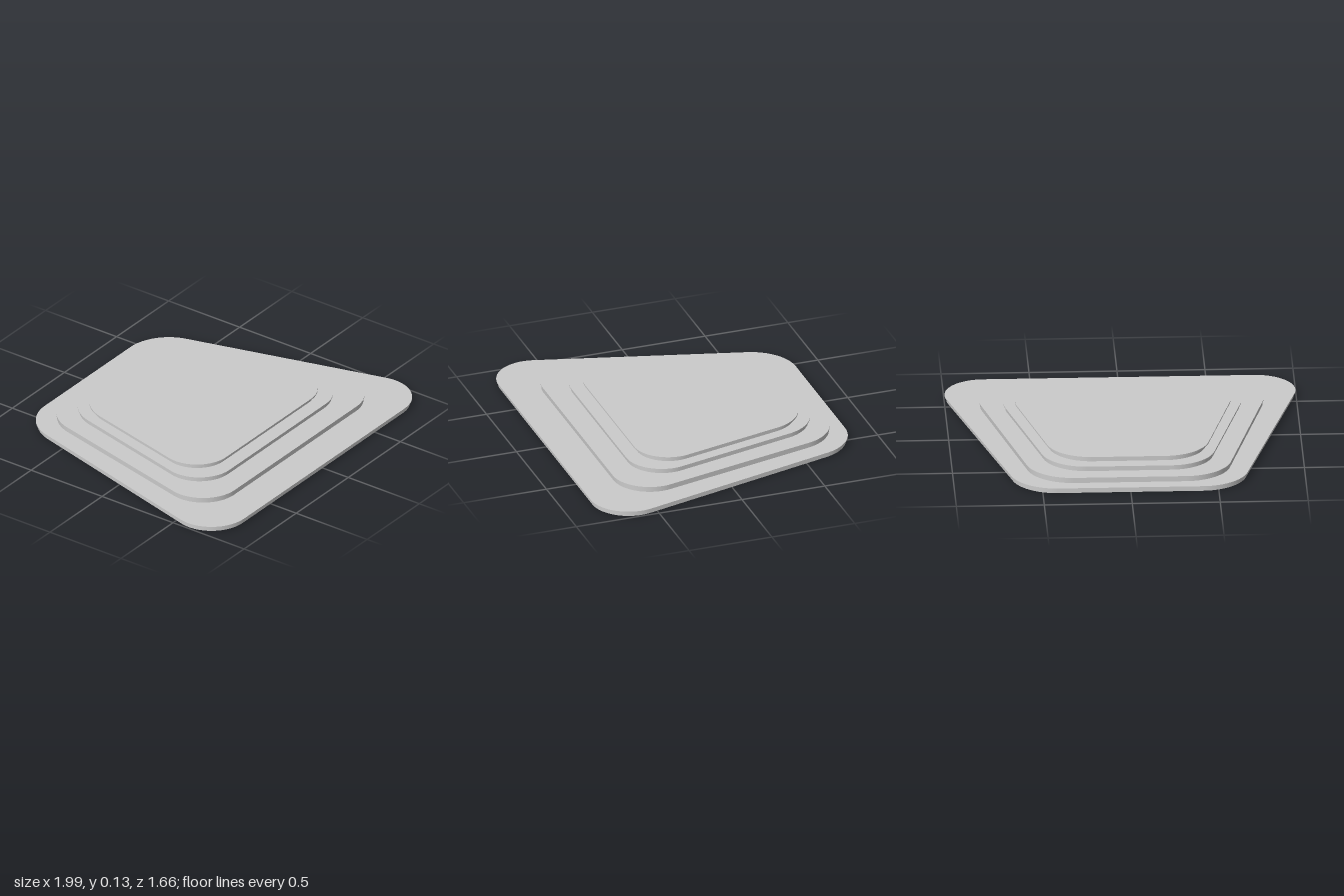
import * as THREE from 'three';
import { toCreasedNormals } from 'three/addons/utils/BufferGeometryUtils.js';

// Each tier: front and back z, half widths of the sharp trapezoid there,
// corner radii, bottom and top heights, and how far the lip overhangs the wall.
const TIERS = [
  { name: 'baseTier', zf: 0.83, zb: -0.835, xf: 1.067, xb: 0.617, rf: 0.228, rb: 0.27, y0: 0, y1: 0.032, lip: 0.01 },
  { name: 'secondTier', zf: 0.63, zb: -0.76, xf: 0.868, xb: 0.53, rf: 0.222, rb: 0.27, y0: 0.032, y1: 0.065, lip: 0.005 },
  { name: 'thirdTier', zf: 0.503, zb: -0.67, xf: 0.734, xb: 0.44, rf: 0.212, rb: 0.26, y0: 0.065, y1: 0.096, lip: 0.01 },
  { name: 'topTier', zf: 0.437, zb: -0.61, xf: 0.668, xb: 0.41, rf: 0.205, rb: 0.26, y0: 0.096, y1: 0.13, lip: 0.02 },
];
const LIP_HEIGHT = 0.006;
const RECESS_INSET = 0.032;

// Rounded trapezoid, inset by d; shape y is minus z
function trace(path, t, d) {
  const m = (t.xf - t.xb) / (t.zf - t.zb);
  const a = Math.atan(m);
  const corner = (z, r) => t.xf + m * (z - t.zf) - (r + d) * Math.hypot(1, m);
  const rf = t.rf - d, rb = t.rb - d;
  const zf = t.zf - d - rf, zb = t.zb + d + rb;
  const xf = corner(zf, rf), xb = corner(zb, rb);
  path.absarc(xf, -zf, rf, -Math.PI / 2, a);
  path.absarc(xb, -zb, rb, a, Math.PI / 2);
  path.absarc(-xb, -zb, rb, Math.PI / 2, Math.PI - a);
  path.absarc(-xf, -zf, rf, Math.PI - a, Math.PI * 1.5);
  path.closePath();
  return path;
}

// Flat slab between two heights, optionally opened by the underside recess
function slab(name, tier, inset, y0, y1, open, material) {
  const shape = trace(new THREE.Shape(), tier, inset);
  if (open) shape.holes.push(trace(new THREE.Path(), TIERS[3], RECESS_INSET));
  const geometry = new THREE.ExtrudeGeometry(shape, { depth: y1 - y0, bevelEnabled: false, curveSegments: 16 });
  geometry.rotateX(-Math.PI / 2);
  geometry.translate(0, y0, 0);
  const mesh = new THREE.Mesh(toCreasedNormals(geometry, 0.6), material);
  mesh.name = name;
  return mesh;
}

export function createModel() {
  const model = new THREE.Group();
  model.name = 'steppedPlatform';
  const material = new THREE.MeshStandardMaterial({ color: 0xcccccc });

  TIERS.forEach((t, i) => {
    const group = new THREE.Group();
    group.name = t.name;
    const isTop = i === TIERS.length - 1;
    // the top tier's cover closes the recess from above
    const lipBottom = t.y1 - (isTop ? 0.008 : LIP_HEIGHT);
    group.add(slab(t.name + 'Wall', t, t.lip, t.y0, lipBottom, true, material));
    group.add(slab(t.name + (isTop ? 'Cover' : 'Lip'), t, 0, lipBottom, t.y1, !isTop, material));
    model.add(group);
  });
  return model;
}
